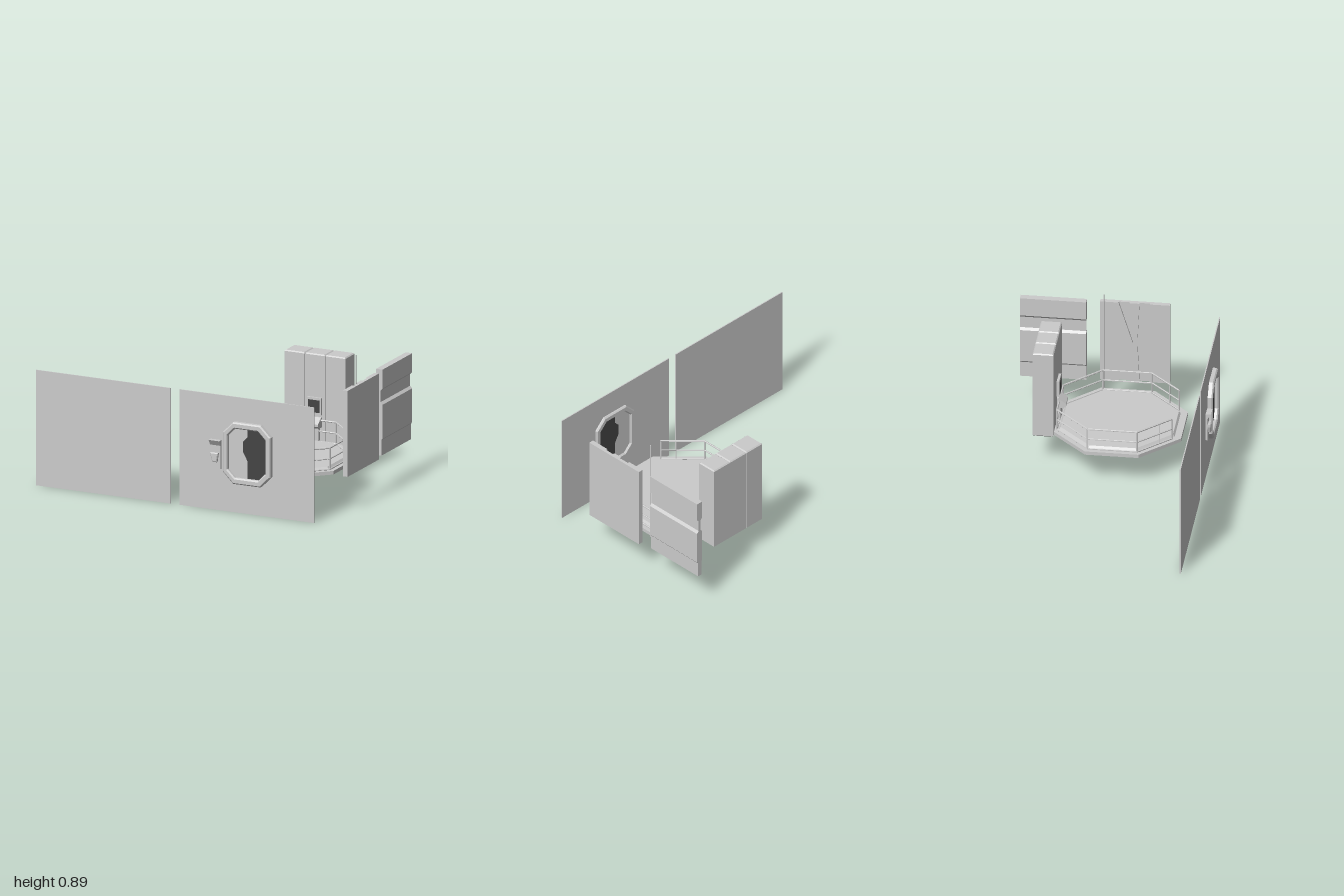
import * as THREE from 'three';

const grey = new THREE.MeshStandardMaterial({ color: 0xcccccc, flatShading: true });
const dark = new THREE.MeshStandardMaterial({ color: 0x444444, flatShading: true });

export function createModel() {
  const model = new THREE.Group();

  const add = (name, geo, mat = grey) => {
    const mesh = new THREE.Mesh(geo, mat);
    mesh.name = name;
    model.add(mesh);
    return mesh;
  };
  // Box given by its limits
  const box = (name, x0, x1, y0, y1, z0, z1, mat) => {
    const m = add(name, new THREE.BoxGeometry(x1 - x0, y1 - y0, z1 - z0), mat);
    m.position.set((x0 + x1) / 2, (y0 + y1) / 2, (z0 + z1) / 2);
    return m;
  };
  const poly = pts => new THREE.Shape(pts.map(p => new THREE.Vector2(...p)));
  // Rectangle with cut corners
  const octagon = (x0, x1, y0, y1, c) => [
    [x0 + c, y0], [x1 - c, y0], [x1, y0 + c], [x1, y1 - c],
    [x1 - c, y1], [x0 + c, y1], [x0, y1 - c], [x0, y0 + c]];
  const plate = (shape, z0, z1, bevel = 0) => new THREE.ExtrudeGeometry(shape, {
    depth: z1 - z0 - 2 * bevel, bevelEnabled: bevel > 0, bevelSegments: 1,
    bevelSize: bevel, bevelThickness: bevel, bevelOffset: -bevel,
  }).translate(0, 0, z0 + bevel);
  // Side panel: outline in (z, y) extruded along x
  const sidePlate = (pts, x0, x1) =>
    plate(poly(pts.map(([z, y]) => [-z, y])), x0, x1).rotateY(Math.PI / 2);
  const rod = (name, a, b, r) => {
    const dir = b.clone().sub(a);
    const m = add(name, new THREE.CylinderGeometry(r, r, dir.length(), 6));
    m.position.copy(a).addScaledVector(dir, 0.5);
    m.quaternion.setFromUnitVectors(new THREE.Vector3(0, 1, 0), dir.normalize());
  };

  // Front walls: one plain, one with a doorway
  box('plainWall', -1, -0.067, 0, 0.745, 0.604, 0.611);
  const wall = poly([[-0.006, 0], [0.927, 0], [0.927, 0.745], [-0.006, 0.745]]);
  wall.holes.push(poly(octagon(0.33, 0.61, 0.22, 0.56, 0.06)));
  add('doorWall', plate(wall, 0.604, 0.611));

  // Door frame
  const frame = poly(octagon(0.308, 0.637, 0.19, 0.588, 0.07));
  frame.holes.push(poly(octagon(0.34, 0.60, 0.23, 0.548, 0.05)));
  add('doorFrame', plate(frame, 0.588, 0.643, 0.008));

  // Two interlocking door leaves
  const seam = [[0.47, 0.555], [0.47, 0.50], [0.437, 0.465], [0.437, 0.40], [0.47, 0.34], [0.47, 0.225]];
  const L = [[0.39, 0.225], [0.335, 0.28], [0.335, 0.50], [0.39, 0.555]];
  const R = [[0.55, 0.225], [0.605, 0.28], [0.605, 0.50], [0.55, 0.555]];
  add('doorLeafRight', plate(poly([...seam, ...L]), 0.60, 0.618));
  add('doorLeafLeft', plate(poly([...seam, ...R]), 0.60, 0.618), dark);

  // Wall keypad: a side profile with a sloping hood, and a raised handset
  add('keypad', sidePlate([
    [0.608, 0.27], [0.622, 0.27], [0.622, 0.42], [0.645, 0.455], [0.608, 0.455]], 0.212, 0.285));
  add('keypadHandset', plate(poly([
    [0.235, 0.315], [0.265, 0.315], [0.275, 0.375], [0.222, 0.375], [0.222, 0.355]]), 0.62, 0.642, 0.005));

  // Octagonal platform with a raised deck
  const cx = 0.458, cz = 0.043;
  const slab = (name, r0, r1, y0, y1) => {
    const m = add(name, new THREE.CylinderGeometry(r1, r0, y1 - y0, 8).rotateY(Math.PI / 8));
    m.position.set(cx, (y0 + y1) / 2, cz);
  };
  slab('platform', 0.438, 0.438, 0.203, 0.226);
  slab('deck', 0.392, 0.38, 0.226, 0.241);

  // Railing around the platform, open at the front
  const corner = (i, y) => {
    const a = (i + 0.5) * Math.PI / 4;
    return new THREE.Vector3(cx + 0.405 * Math.sin(a), y, cz + 0.405 * Math.cos(a));
  };
  const path = y => {
    const p = Array.from({ length: 8 }, (_, i) => corner(i, y));
    p[0].lerp(p[1], 0.12);
    p[7].lerp(p[6], 0.12);
    return p;
  };
  for (const [y, r] of [[0.23, 0.006], [0.298, 0.005], [0.368, 0.006]]) {
    const p = path(y);
    for (let i = 0; i < 7; i++) rod('rail', p[i], p[i + 1], r);
  }
  const low = path(0.222), high = path(0.37);
  low.forEach((p, i) => rod('railPost', p, high[i], 0.005));
  for (const i of [0, 6]) {
    const t = i ? 0.65 : 0.35;
    rod('railPost', low[i].clone().lerp(low[i + 1], t), high[i].clone().lerp(high[i + 1], t), 0.004);
  }

  // Three tall cabinets at the back
  for (const x of [0.249, 0.39, 0.531]) {
    const s = poly([[x, -0.346], [x + 0.139, -0.346], [x + 0.139, -0.477], [x, -0.477]].reverse()
      .map(([a, z]) => [a, -z]));
    add('cabinet', plate(s, 0.2, 0.788, 0.007).rotateX(-Math.PI / 2));
  }

  // Console on the middle cabinet
  box('consoleScreen', 0.41, 0.51, 0.40, 0.51, -0.348, -0.33);
  box('consoleScreenInset', 0.422, 0.498, 0.415, 0.495, -0.332, -0.326, dark);
  add('consoleDesk', sidePlate([
    [-0.348, 0.32], [-0.305, 0.32], [-0.288, 0.335], [-0.288, 0.35], [-0.335, 0.385], [-0.348, 0.385]], 0.412, 0.508));
  box('consoleBase', 0.425, 0.495, 0.226, 0.32, -0.348, -0.325);

  // Side panel with horizontal recesses, the same profile on both faces
  const outer = [[0.976, 0.225], [0.976, 0.325], [0.985, 0.336], [0.985, 0.555], [0.97, 0.57],
    [0.97, 0.645], [0.985, 0.66], [0.985, 0.782]];
  const inner = [[0.94, 0.782], [0.94, 0.66], [0.953, 0.645], [0.953, 0.57], [0.94, 0.555],
    [0.94, 0.336], [0.948, 0.325], [0.948, 0.225]];
  add('recessedPanel', plate(poly([...outer, ...inner]), -0.645, -0.23));

  // Flat side panel with slanted grooves on its inner face
  box('flatPanel', 0.98, 1, 0.225, 0.78, -0.147, 0.29);
  const planks = [
    [[-0.147, 0.225], [-0.03, 0.225], [0.058, 0.5], [-0.03, 0.78], [-0.147, 0.78]],
    [[0.29, 0.225], [0.165, 0.225], [0.118, 0.5], [0.165, 0.78], [0.29, 0.78]],
    [[0.04, 0.78], [0.1, 0.78], [0.088, 0.53]],
    [[0.04, 0.225], [0.1, 0.225], [0.088, 0.47]]];
  for (const p of planks) add('flatPanelPlank', sidePlate(p, 0.968, 0.98));

  // Thin upright mast beside the platform
  rod('mast', new THREE.Vector3(0.86, 0.19, -0.108), new THREE.Vector3(0.86, 0.893, -0.108), 0.003);

  return model;
}
